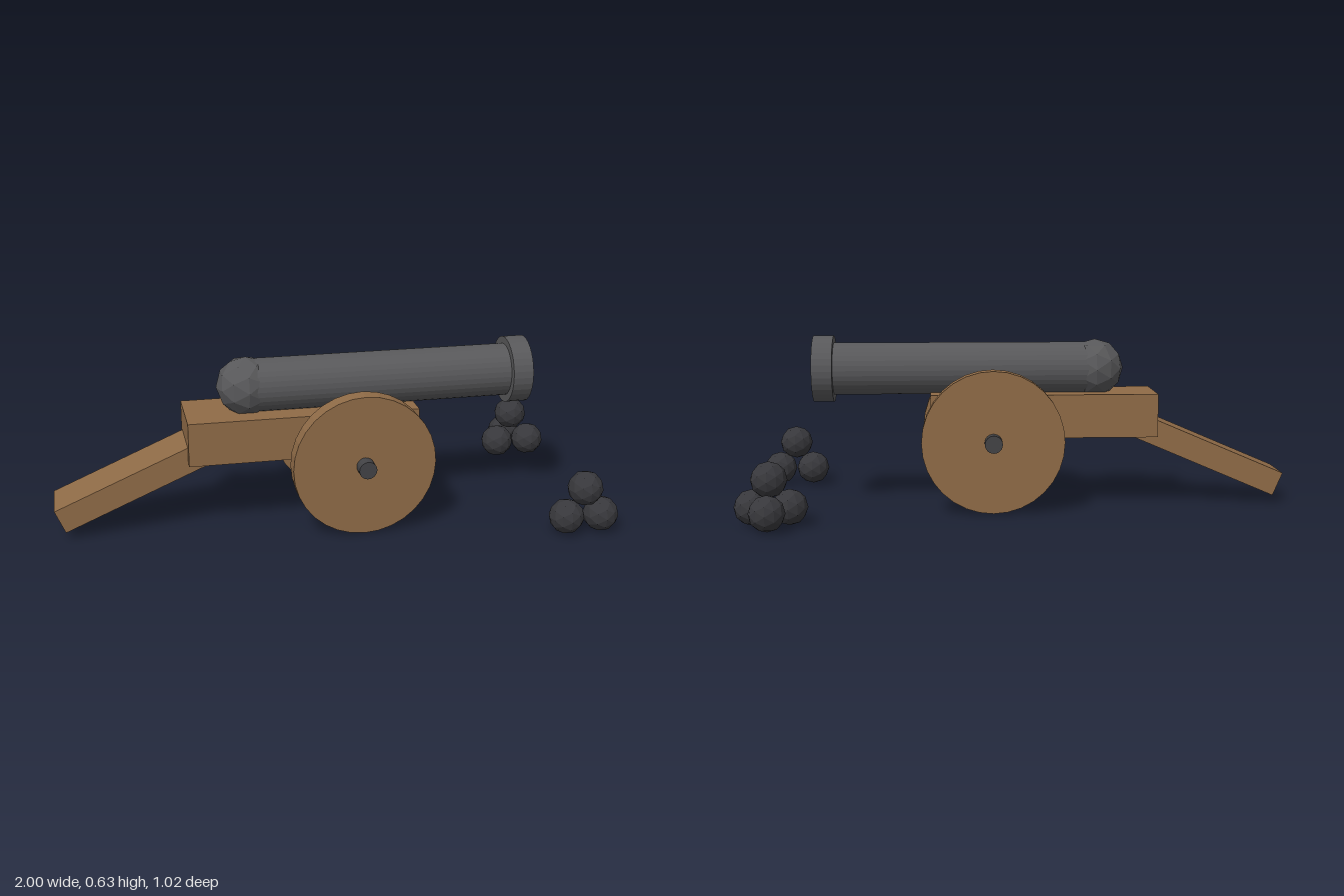
import * as THREE from 'three';

const mat = (color) => new THREE.MeshStandardMaterial({ color, flatShading: true });

export function createModel() {
  const model = new THREE.Group();
  const wood = mat(0x8f6b47), iron = mat(0x58585a), darkIron = mat(0x434346), shot = mat(0x38383c);
  const midZ = 0.055;

  const add = (parent, name, geometry, material, x, y, z) => {
    const mesh = new THREE.Mesh(geometry, material);
    mesh.name = name;
    mesh.position.set(x, y, z);
    parent.add(mesh);
    return mesh;
  };

  // Carriage bed and sloping trail
  const carriage = new THREE.Group();
  carriage.name = 'carriage';
  model.add(carriage);
  add(carriage, 'bed', new THREE.BoxGeometry(0.84, 0.16, 0.26), wood, -0.1, 0.34, midZ);

  const slope = 0.404, length = 0.66, depth = 0.092;
  const trailGeometry = new THREE.BoxGeometry(length, depth, 0.193);
  trailGeometry.translate(length / 2, 0, 0);
  const trail = add(carriage, 'trail', trailGeometry, wood, -0.982, 0.072, midZ);
  trail.rotation.z = slope;

  // Axle and pair of solid wheels
  const axleGeometry = new THREE.CylinderGeometry(0.032, 0.032, 0.585, 24).rotateX(Math.PI / 2);
  add(carriage, 'axle', axleGeometry, darkIron, 0.093, 0.262, midZ + 0.002);
  const wheelGeometry = new THREE.CylinderGeometry(0.259, 0.259, 0.064, 32).rotateX(Math.PI / 2);
  for (const side of [1, -1]) {
    add(carriage, side > 0 ? 'frontWheel' : 'backWheel', wheelGeometry, wood,
      0.093, 0.261, midZ + 0.002 + side * 0.215);
  }

  // Barrel with muzzle ring and faceted breech ball
  const barrel = new THREE.Group();
  barrel.name = 'barrel';
  barrel.position.set(0, 0.508, midZ);
  model.add(barrel);
  const tube = (name, radius, x0, x1) => add(barrel, name,
    new THREE.CylinderGeometry(radius, radius, x1 - x0, 32).rotateZ(-Math.PI / 2),
    iron, (x0 + x1) / 2, 0, 0);
  tube('barrelTube', 0.097, -0.3, 0.74);
  tube('muzzleRing', 0.123, 0.678, 0.753);
  add(barrel, 'breechBall', new THREE.IcosahedronGeometry(0.108, 1), iron, -0.295, 0, 0);

  // Two piles of cannonballs
  const ballGeometry = new THREE.IcosahedronGeometry(0.064, 1);
  const pile = (name, balls) => {
    const group = new THREE.Group();
    group.name = name;
    model.add(group);
    for (const [x, y, z] of balls) add(group, 'cannonball', ballGeometry, shot, x, y, z);
  };
  pile('frontPile', [[0.806, 0.066, 0.443], [0.936, 0.066, 0.443], [0.871, 0.17, 0.443]]);
  pile('backPile', [[0.806, 0.066, -0.334], [0.936, 0.066, -0.334], [0.871, 0.066, -0.444], [0.871, 0.17, -0.372]]);

  return model;
}
